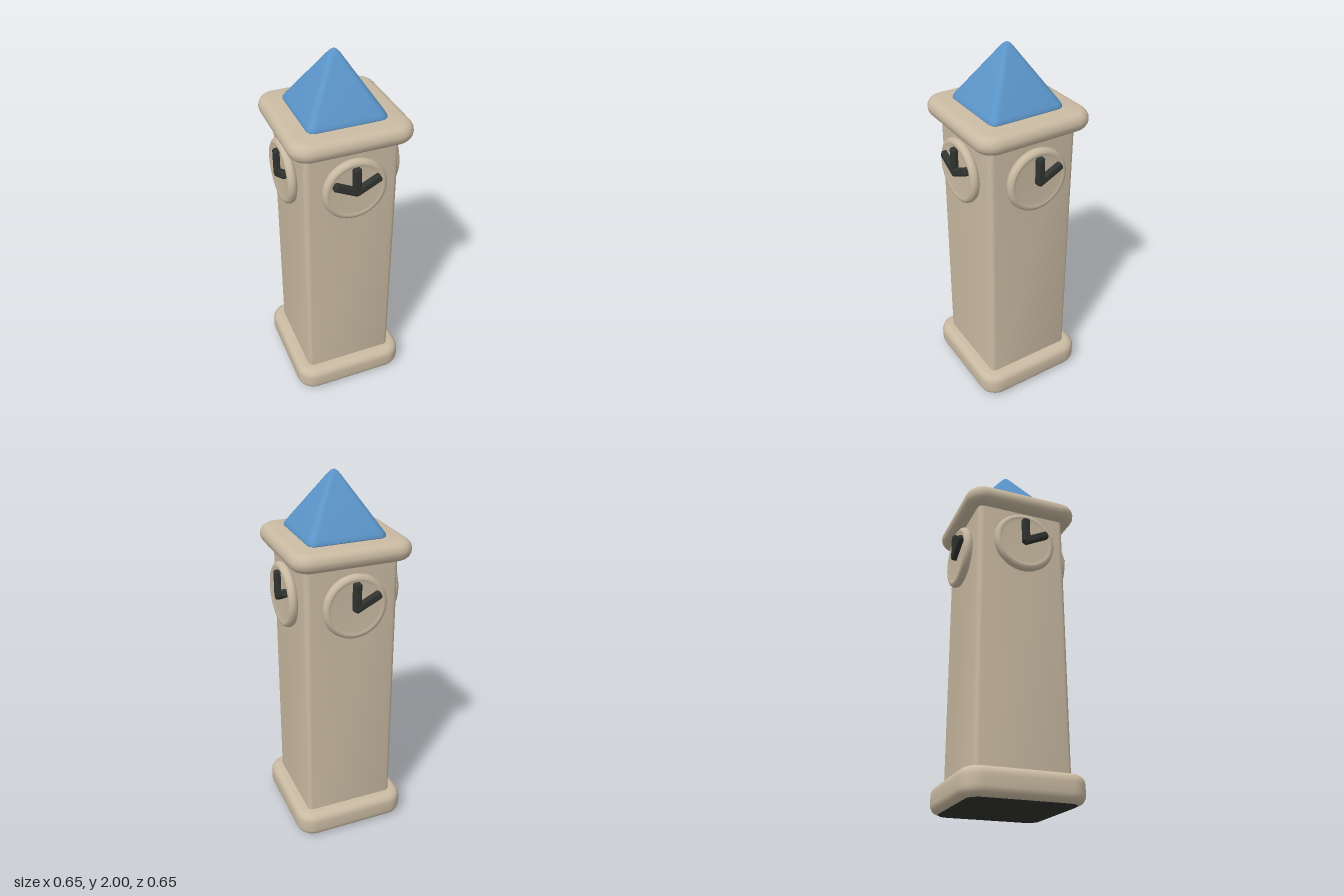
import * as THREE from 'three';
import { toCreasedNormals } from 'three/addons/utils/BufferGeometryUtils.js';
import { RoundedBoxGeometry } from 'three/addons/geometries/RoundedBoxGeometry.js';

const paint = (name, color) => Object.assign(new THREE.MeshStandardMaterial({ color }), { name });

// Skin over rounded squares stacked upwards; each row is [half width, y, corner radius]
function loft(rows) {
  const steps = 6, n = 4 * (steps + 1), pos = [], idx = [];
  for (const [half, y, r] of rows) {
    for (let c = 0; c < 4; c++) {
      const mid = Math.PI / 4 + c * Math.PI / 2;
      const cx = Math.sign(Math.cos(mid)) * (half - r), cz = Math.sign(Math.sin(mid)) * (half - r);
      for (let s = 0; s <= steps; s++) {
        const a = (c + s / steps) * Math.PI / 2;
        pos.push(cx + r * Math.cos(a), y, cz + r * Math.sin(a));
      }
    }
  }
  for (let i = 0; i < rows.length - 1; i++) {
    for (let j = 0; j < n; j++) {
      const a = i * n + j, b = i * n + (j + 1) % n;
      idx.push(a, a + n, b, b, a + n, b + n);
    }
  }
  const g = new THREE.BufferGeometry();
  g.setAttribute('position', new THREE.Float32BufferAttribute(pos, 3));
  g.setIndex(idx);
  return toCreasedNormals(g, 0.7);
}

// Rows of a rounded edge from y0 to y1, bulging out to the given half width
function slabRows(half, y0, y1, edge, corner) {
  const rows = [];
  for (const [y, from] of [[y0 + edge, -Math.PI / 2], [y1 - edge, 0]]) {
    for (let s = 0; s <= 5; s++) {
      const a = from + s / 5 * Math.PI / 2, inset = edge * (1 - Math.cos(a));
      rows.push([half - inset, y + edge * Math.sin(a), corner - inset]);
    }
  }
  return rows;
}

export function createModel() {
  const stone = paint('stone', 0xc9baa2);
  const blue = paint('roofBlue', 0x5b95c9);
  const dark = paint('dark', 0x30332f);

  const model = new THREE.Group();
  model.name = 'clockTower';
  const add = (parent, name, geometry, material) => {
    const mesh = new THREE.Mesh(geometry, material);
    mesh.name = name;
    parent.add(mesh);
    return mesh;
  };

  // Plinth with a dark underside
  add(model, 'plinth', loft([...slabRows(0.32, 0.004, 0.148, 0.045, 0.1), [0, 0.148, 0]]), stone);
  add(model, 'underside', loft([[0, 0, 0], [0.275, 0, 0.06], [0.284, 0.008, 0.065]]), dark);

  // Shaft and cornice
  add(model, 'shaft', loft([[0.252, 0.13, 0.03], [0.25, 1.62, 0.03]]), stone);
  add(model, 'cornice', loft([[0, 1.59, 0], ...slabRows(0.32, 1.59, 1.69, 0.048, 0.1), [0, 1.69, 0]]), stone);

  // Pyramid roof with a softened foot and tip
  add(model, 'roof', loft([
    [0.2, 1.684, 0.035], [0.208, 1.693, 0.04], [0.207, 1.702, 0.04], [0.198, 1.718, 0.036],
    [0.028, 1.98, 0.02], [0.018, 1.992, 0.016], [0.009, 1.998, 0.009], [0, 2, 0],
  ]), blue);

  // Clock discs with a soft rim
  const profile = [[0.15, 0], [0.166, 0.007], [0.172, 0.024], [0.168, 0.04], [0.155, 0.05],
    [0.143, 0.049], [0.13, 0.044], [0, 0.044]].map(([x, y]) => new THREE.Vector2(x, y));
  const disc = new THREE.LatheGeometry(profile, 48).rotateX(Math.PI / 2);
  const post = new THREE.CylinderGeometry(0.14, 0.14, 0.04, 32).rotateX(Math.PI / 2);

  // A hand runs from the pivot to (x, y)
  const addHand = (clock, name, x, y) => {
    const length = Math.hypot(x, y);
    const hand = add(clock, name, new RoundedBoxGeometry(length + 0.03, 0.042, 0.044, 3, 0.012), dark);
    hand.position.set(x / 2, y / 2 - 0.002, 0.05);
    hand.rotation.z = Math.atan2(y, x);
  };

  ['front', 'left', 'back', 'right'].forEach((side, i) => {
    const clock = new THREE.Group();
    clock.name = side + 'Clock';
    add(clock, 'clockFace', disc, stone);
    add(clock, 'clockMount', post, stone);
    addHand(clock, 'uprightHand', 0, 0.122);
    addHand(clock, 'slantedHand', 0.112, 0.056);
    if (side === 'front') addHand(clock, 'thirdHand', -0.106, 0.052);
    clock.position.set(0, 1.385, 0.252).applyAxisAngle(new THREE.Vector3(0, 1, 0), i * Math.PI / 2);
    clock.rotation.y = i * Math.PI / 2;
    model.add(clock);
  });

  return model;
}
